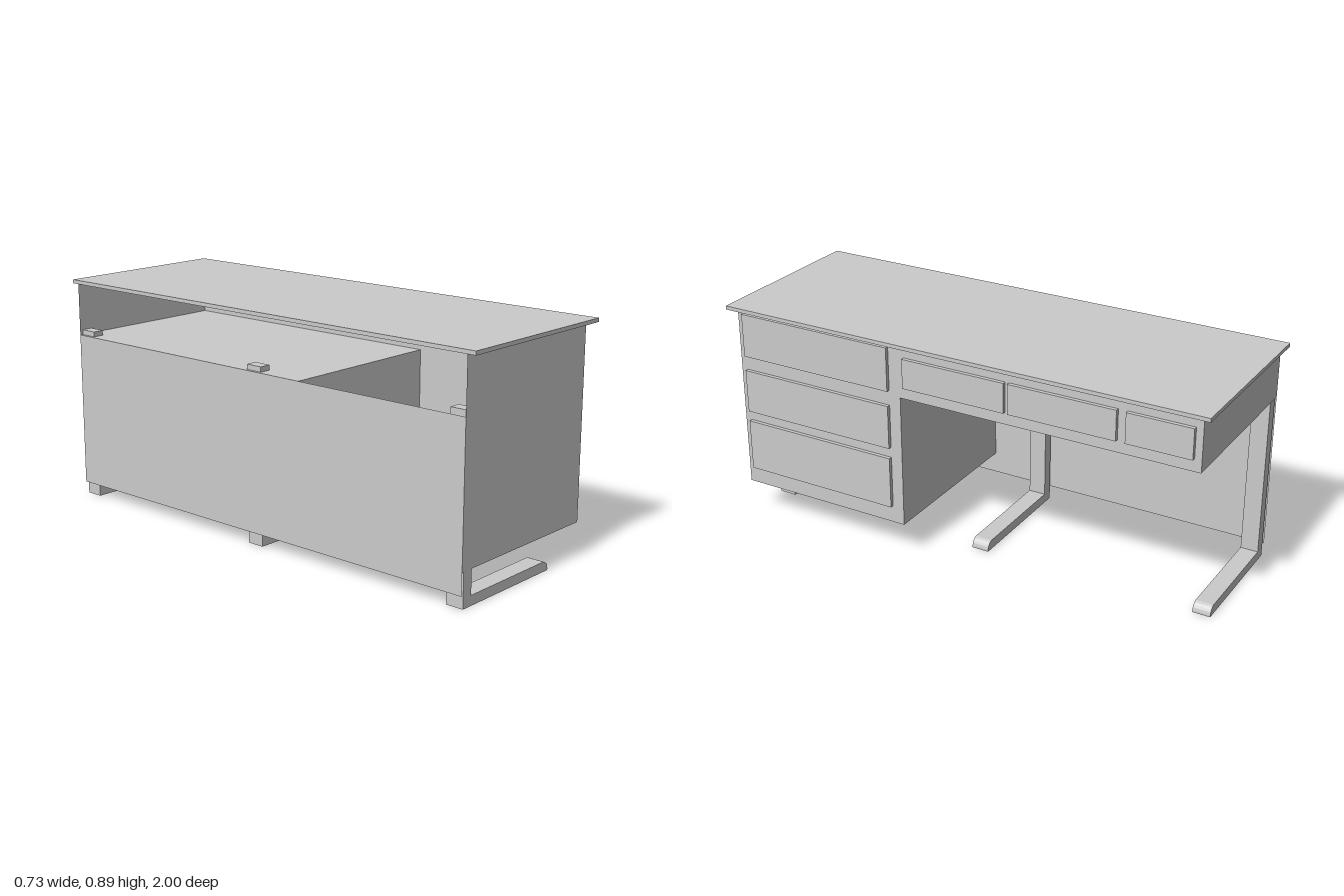
import * as THREE from 'three';

const solid = new THREE.MeshStandardMaterial({ color: 0xcccccc });
const sheet = new THREE.MeshStandardMaterial({ color: 0xcccccc, side: THREE.DoubleSide });

const BACK = -0.367, FRONT = 0.333, END = 0.967;

// Box given by its limits on each axis
function box(name, [x0, x1], [y0, y1], [z0, z1]) {
  const mesh = new THREE.Mesh(new THREE.BoxGeometry(x1 - x0, y1 - y0, z1 - z0), solid);
  mesh.position.set((x0 + x1) / 2, (y0 + y1) / 2, (z0 + z1) / 2);
  mesh.name = name;
  return mesh;
}

// Flat sheet facing +x, from an outline of [z, y] points
function facePanel(name, outline, x) {
  const shape = new THREE.Shape(outline.map(([z, y]) => new THREE.Vector2(-z, y)));
  const geometry = new THREE.ShapeGeometry(shape).rotateY(Math.PI / 2).translate(x, 0, 0);
  const mesh = new THREE.Mesh(geometry, sheet);
  mesh.name = name;
  return mesh;
}

// Thin walls running from back to front along an open outline of [z, y] points
function walls(name, outline) {
  const positions = [];
  for (let i = 0; i < outline.length - 1; i++) {
    const [za, ya] = outline[i], [zb, yb] = outline[i + 1];
    const a = [BACK, ya, za], b = [FRONT, ya, za], c = [FRONT, yb, zb], d = [BACK, yb, zb];
    positions.push(...a, ...b, ...c, ...a, ...c, ...d);
  }
  const geometry = new THREE.BufferGeometry();
  geometry.setAttribute('position', new THREE.Float32BufferAttribute(positions, 3));
  geometry.computeVertexNormals();
  const mesh = new THREE.Mesh(geometry, sheet);
  mesh.name = name;
  return mesh;
}

// L-shaped leg with a long foot rounded at its tip
function leg(z) {
  const shape = new THREE.Shape();
  shape.moveTo(-0.355, 0);
  shape.lineTo(0.15, 0);
  shape.lineTo(0.15, 0.008);
  shape.quadraticCurveTo(0.147, 0.032, 0.124, 0.038);
  shape.lineTo(-0.31, 0.038);
  shape.lineTo(-0.31, 0.69);
  shape.lineTo(-0.355, 0.69);
  const geometry = new THREE.ExtrudeGeometry(shape, { depth: 0.07, bevelEnabled: false, curveSegments: 4 });
  const mesh = new THREE.Mesh(geometry, solid);
  mesh.position.z = z - 0.035;
  mesh.name = 'leg';
  return mesh;
}

export function createModel() {
  const desk = new THREE.Group();
  desk.name = 'desk';

  desk.add(box('desktop', [BACK, 0.363], [0.878, 0.893], [-1, 1]));

  // Hollow carcass, open at the back: deep pedestal plus shallow drawer box
  const outline = [[END, 0.878], [END, 0.135], [0.23, 0.135], [0.23, 0.67], [-END, 0.67], [-END, 0.878]];
  desk.add(facePanel('carcassFront', outline, FRONT));
  desk.add(walls('carcassWalls', outline));

  // Modesty panel across the back
  desk.add(facePanel('modestyPanel', [[END, 0.05], [-END, 0.05], [-END, 0.67], [END, 0.67]], BACK));

  // Raised drawer fronts
  const depth = [FRONT, 0.348];
  for (const y of [[0.205, 0.413], [0.455, 0.63], [0.69, 0.865]])
    desk.add(box('pedestalDrawer', depth, y, [0.278, 0.94]));
  for (const z of [[-0.215, 0.21], [-0.655, -0.23], [-0.94, -0.69]])
    desk.add(box('upperDrawer', depth, [0.718, 0.835], z));

  for (const z of [-0.93, 0, 0.93]) desk.add(leg(z));

  return desk;
}
